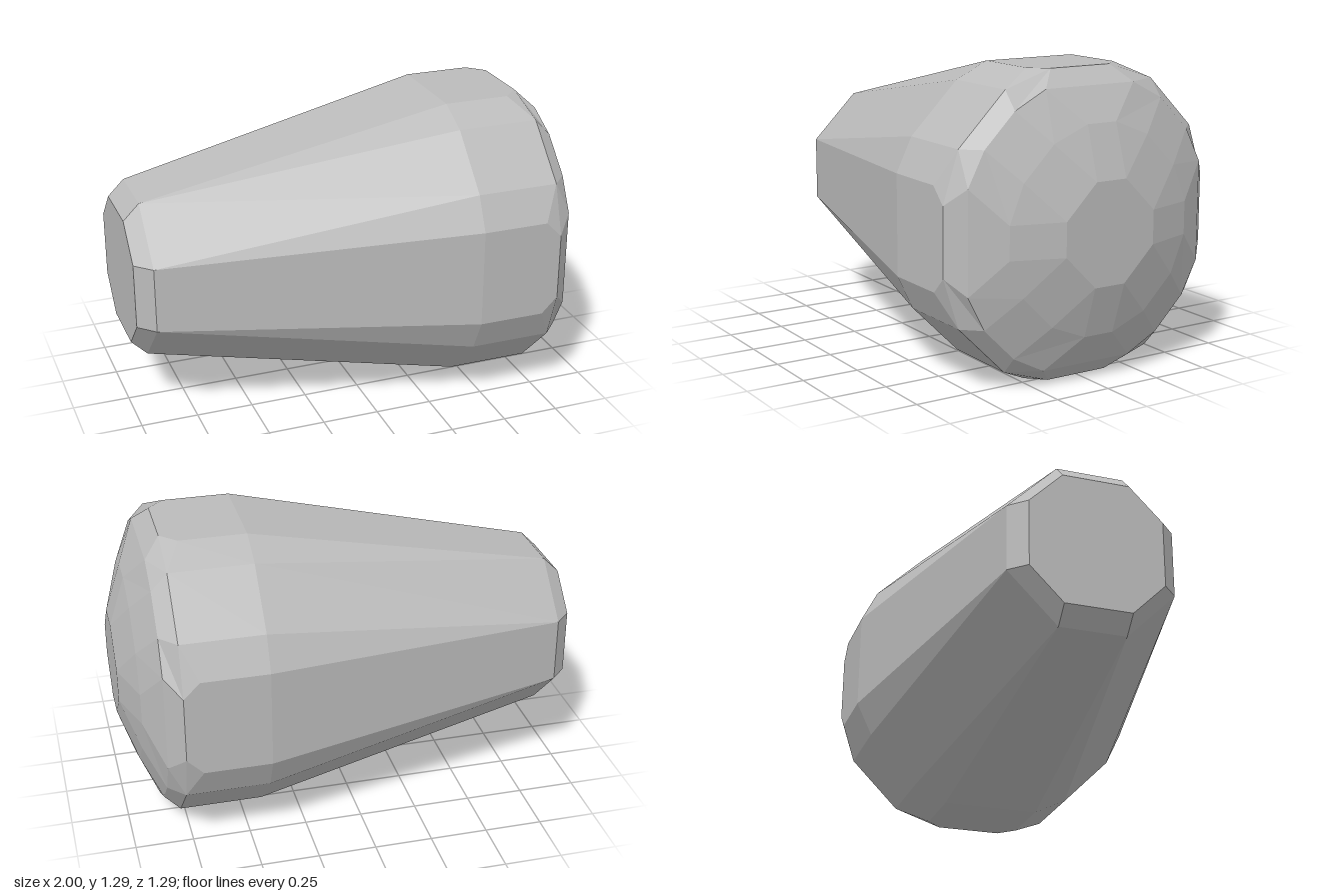
import * as THREE from 'three';

// Each ring: x, radius and half-flat of the flat's ends, then x, radius and half-flat of the corners' ends,
// and the shift of its centre in y and z.
const RINGS = [
  [-1.0, 0.285, 0.143, -1.0, 0.285, 0.143, -0.01, -0.015], // small flat end
  [-0.93, 0.355, 0.143, -0.93, 0.355, 0.143, -0.01, -0.015], // end bevel
  [0.42, 0.645, 0.215, 0.42, 0.575, 0.36, 0, 0], // end of the taper
  [0.71, 0.645, 0.215, 0.78, 0.575, 0.36, 0, 0], // straight rim
  [0.78, 0.645, 0.145, 0.78, 0.575, 0.36, 0, 0], // rim edge
  [0.85, 0.575, 0.215, 0.85, 0.5, 0.36, 0, 0], // rim bevel
  [0.93, 0.435, 0.07, 0.93, 0.37, 0.23, 0, 0], // dome
  [1.0, 0.215, 0.072, 1.0, 0.215, 0.072, 0, 0], // dome top
];
const CENTRE_Y = 0.645;

// Sixteen points around the x axis, four per quarter turn
function ringPoints([xa, ra, ha, xb, rb, hb, dy, dz]) {
  const quarter = [[xa, ra, ha], [xb, rb, hb], [xb, hb, rb], [xa, ha, ra]];
  const points = [];
  for (let q = 0; q < 4; q++) {
    for (const [x, u, v] of quarter) {
      const [y, z] = [[u, v], [-v, u], [-u, -v], [v, -u]][q];
      points.push(new THREE.Vector3(x, CENTRE_Y + y + dy, z + dz));
    }
  }
  return points;
}

function loft(rings) {
  const positions = [];
  const tri = (a, b, c) => {
    const area = b.clone().sub(a).cross(c.clone().sub(a)).length();
    if (area > 1e-6) for (const p of [a, b, c]) positions.push(p.x, p.y, p.z);
  };
  const n = rings[0].length;
  for (let i = 0; i < rings.length - 1; i++) {
    for (let j = 0; j < n; j++) {
      const k = (j + 1) % n;
      tri(rings[i][j], rings[i][k], rings[i + 1][k]);
      tri(rings[i][j], rings[i + 1][k], rings[i + 1][j]);
    }
  }
  // End caps
  const first = rings[0], last = rings[rings.length - 1];
  for (let j = 1; j < n - 1; j++) {
    tri(first[0], first[j + 1], first[j]);
    tri(last[0], last[j], last[j + 1]);
  }
  const geometry = new THREE.BufferGeometry();
  geometry.setAttribute('position', new THREE.Float32BufferAttribute(positions, 3));
  geometry.computeVertexNormals();
  return geometry;
}

export function createModel() {
  const group = new THREE.Group();
  group.name = 'taperedPlug';
  const grey = new THREE.MeshStandardMaterial({ color: 0xbbbbbb });
  grey.name = 'grey';
  grey.flatShading = true;

  // Tapered body with a bevelled rim and shallow dome
  const body = new THREE.Mesh(loft(RINGS.map(ringPoints)), grey);
  body.name = 'body';
  group.add(body);
  return group;
}
